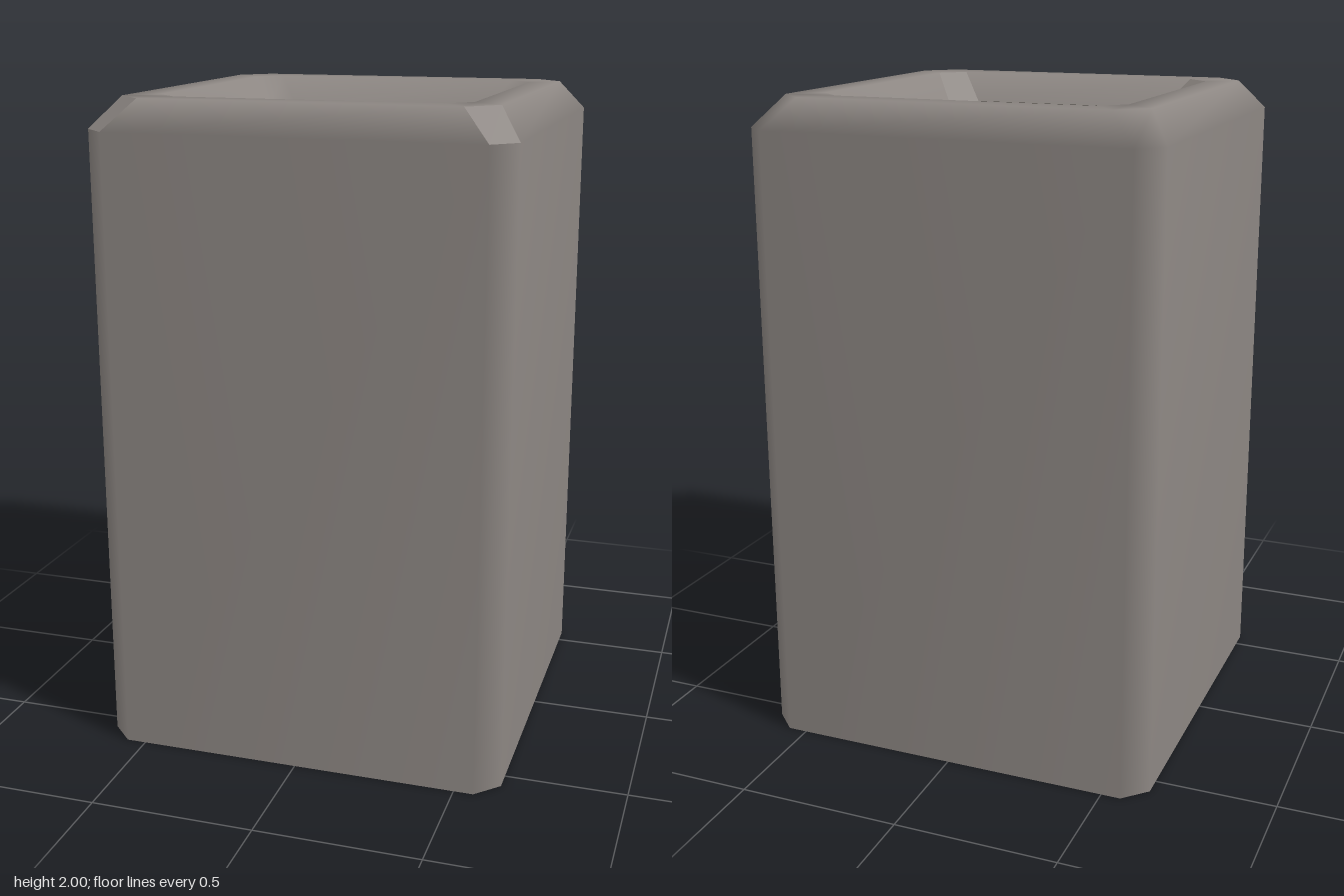
import * as THREE from 'three';

const shell = new THREE.MeshStandardMaterial({ color: 0x8d8783 });
shell.name = 'warm grey shell';
const dark = new THREE.MeshStandardMaterial({ color: 0x524e47 });
dark.name = 'dark interior';

// Chamfered square: eight corners, starting at the right front, seen from above
function ring(half, cut, y) {
  const h = half, i = half - cut;
  return [[h, i], [h, -i], [i, -h], [-i, -h], [-h, -i], [-h, i], [-i, h], [i, h]]
    .map(([x, z]) => [x, y, z]);
}

// Joins consecutive rings with quads; keep(level, side) chooses which quads are built
function loft(rings, keep = () => true) {
  const index = [];
  for (let r = 0; r < rings.length - 1; r++) {
    for (let s = 0; s < 8; s++) {
      if (!keep(r, s)) continue;
      const t = (s + 1) % 8, a = r * 8 + s, b = r * 8 + t, c = b + 8, d = a + 8;
      index.push(a, b, c, a, c, d);
    }
  }
  const geometry = new THREE.BufferGeometry();
  geometry.setAttribute('position', new THREE.Float32BufferAttribute(rings.flat(2), 3));
  geometry.setIndex(index);
  geometry.computeVertexNormals();
  return geometry;
}

// Flat octagonal plate, facing up or down
function plate(half, cut, y, up) {
  const points = ring(half, cut, y).map(([x, , z]) => new THREE.Vector2(x, z));
  const geometry = new THREE.ShapeGeometry(new THREE.Shape(points));
  geometry.rotateX(up ? -Math.PI / 2 : Math.PI / 2);
  return geometry.translate(0, y, 0);
}

export function createModel() {
  const group = new THREE.Group();
  group.name = 'squarePlanter';
  const add = (name, geometry, material) => {
    const mesh = new THREE.Mesh(geometry, material);
    mesh.name = name;
    group.add(mesh);
  };

  // Outer walls, rounded rim and inner lip
  const rings = [
    ring(0.63, 0.07, 0),
    ring(0.63, 0.07, 1.91),
    ring(0.56, 0.085, 2),
    ring(0.47, 0.07, 2),
    ring(0.4, 0.075, 1.91),
  ];
  // The front corners of the rim have crisp facets, the rest is smooth
  const crisp = (r, s) => (r === 1 || r === 3) && (s === 5 || s === 7);
  add('wallsAndRim', loft(rings, (r, s) => !crisp(r, s)), shell);
  add('frontCornerFacets', loft(rings, crisp), shell);
  add('underside', plate(0.63, 0.07, 0, false), shell);

  // Dark hollow inside
  add('innerWalls', loft([ring(0.4, 0.075, 1.91), ring(0.4, 0.075, 0.1)]), dark);
  add('innerFloor', plate(0.4, 0.075, 0.1, true), dark);
  return group;
}
